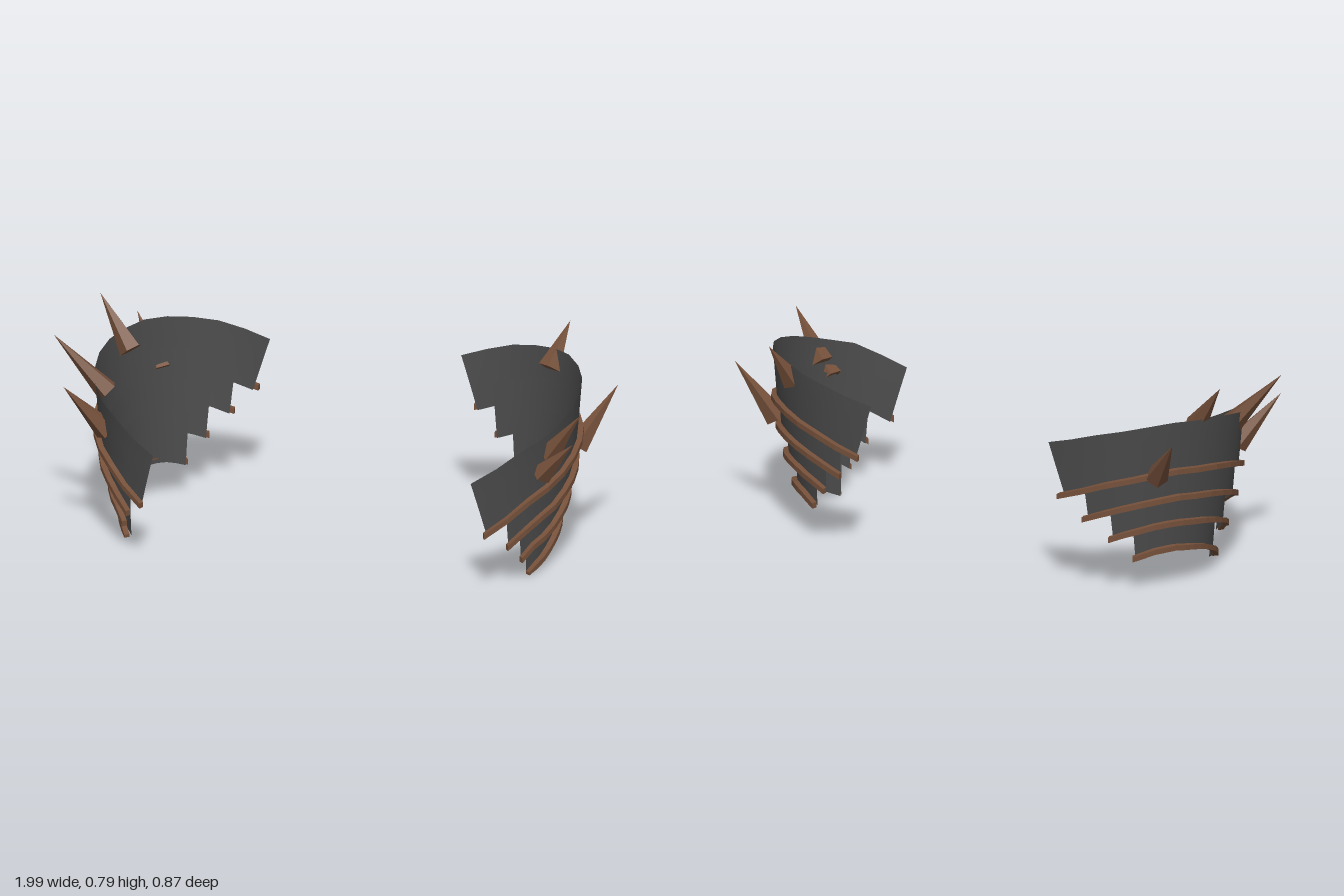
import * as THREE from 'three';

const iron = new THREE.MeshStandardMaterial({ color: 0x4a4a4a, side: THREE.DoubleSide });
iron.name = 'dark iron';
const bronze = new THREE.MeshStandardMaterial({ color: 0x75503a, side: THREE.DoubleSide, flatShading: true });
bronze.name = 'bronze';

const SEGMENTS = 14;

// Overlapping plates, top to bottom: arc centre, lower radius, front and back angle of the lower edge
const PLATES = [
  { cx: 0.47, cz: 0.03, r: 0.42, front: 62, back: -97, wide: 8 },
  { cx: 0.492, cz: 0.02, r: 0.38, front: 52, back: -89, wide: 3 },
  { cx: 0.513, cz: 0.01, r: 0.33, front: 44, back: -79, wide: 3 },
  { cx: 0.535, cz: 0.0, r: 0.275, front: 38, back: -68, wide: 3 },
];
const STEP = 0.109, HEIGHT = 0.203;

// Height of the top plate's lower edge by angle (degrees)
const EDGE = [[-110, 0.35], [-97, 0.385], [-75, 0.44], [-55, 0.47], [-40, 0.477], [-20, 0.46],
  [-5, 0.435], [10, 0.4], [25, 0.355], [38, 0.327], [45, 0.295], [62, 0.22], [70, 0.19]];
function edgeHeight(a) {
  let k = 0;
  while (k < EDGE.length - 2 && a > EDGE[k + 1][0]) k++;
  const [a0, y0] = EDGE[k], [a1, y1] = EDGE[k + 1];
  return y0 + (y1 - y0) * (a - a0) / (a1 - a0);
}

// Moves a point to its shoulder; the right one is mirrored and turned slightly
function place(side, x, y, z) {
  if (side > 0) return new THREE.Vector3(x, y, z);
  const c = Math.cos(0.07), s = Math.sin(0.07), dx = x - 0.47, dz = z - 0.03;
  return new THREE.Vector3(-(0.44 + dx * c - dz * s), y * 0.975, 0.022 + dx * s + dz * c);
}

// Point on a plate: t runs front to back, v bottom to top, out is radial offset, over lengthens the arc
function platePoint(side, i, t, v, out = 0, up = 0, over = 0) {
  const p = PLATES[i];
  const base = p.front + over + (p.back - p.front - 2 * over) * t;
  const a = THREE.MathUtils.degToRad(base + p.wide * v * (1 - 2 * t));
  const r = p.r + 0.016 * v + out;
  const y = edgeHeight(base) - STEP * i + HEIGHT * v + up;
  return place(side, p.cx + r * Math.cos(a), Math.max(0, y), p.cz + r * Math.sin(a));
}

// Quad grid through a function of column and row
function gridGeometry(cols, rows, fn) {
  const pos = [], idx = [];
  for (let a = 0; a <= cols; a++) for (let b = 0; b <= rows; b++) pos.push(...fn(a, b).toArray());
  for (let a = 0; a < cols; a++) for (let b = 0; b < rows; b++) {
    const q = a * (rows + 1) + b, n = q + rows + 1;
    idx.push(q, q + 1, n, n, q + 1, n + 1);
  }
  const g = new THREE.BufferGeometry();
  g.setAttribute('position', new THREE.Float32BufferAttribute(pos, 3));
  g.setIndex(idx);
  g.computeVertexNormals();
  return g;
}

function add(group, name, geometry, material) {
  const mesh = new THREE.Mesh(geometry, material);
  mesh.name = name;
  group.add(mesh);
  return mesh;
}

// Spikes as base centre and tip
const SPIKES = {
  left: [
    [[0.71, 0.605, -0.305], [0.76, 0.757, -0.4]],
    [[0.86, 0.385, -0.135], [0.99, 0.605, -0.21]],
    [[0.85, 0.48, 0.215], [0.98, 0.658, 0.27]],
    [[0.83, 0.415, 0.25], [0.96, 0.555, 0.3]],
  ],
  right: [
    [[-0.81, 0.53, 0.145], [-1.0, 0.74, 0.18]],
    [[-0.79, 0.6, -0.1], [-0.92, 0.785, -0.16]],
    [[-0.785, 0.42, 0.25], [-0.92, 0.605, 0.34]],
    [[-0.73, 0.46, -0.29], [-0.85, 0.635, -0.405]],
  ],
};

function addSpike(group, [from, to]) {
  const a = new THREE.Vector3(...from), b = new THREE.Vector3(...to);
  const dir = b.clone().sub(a), length = dir.length();
  const g = new THREE.ConeGeometry(0.043, length, 5);
  g.translate(0, length / 2, 0);
  const spike = add(group, 'spike', g, bronze);
  spike.position.copy(a);
  spike.quaternion.setFromUnitVectors(new THREE.Vector3(0, 1, 0), dir.normalize());
}

// Trim cross-section: radial offset and height, closed loop
const TRIM = [[0.001, 0], [0.022, 0], [0.022, 0.02], [0.001, 0.02], [0.001, 0]];

function buildPauldron(side) {
  const group = new THREE.Group();
  group.name = side > 0 ? 'leftPauldron' : 'rightPauldron';
  PLATES.forEach((_, i) => {
    add(group, 'plate', gridGeometry(SEGMENTS, 3,
      (a, b) => platePoint(side, i, a / SEGMENTS, b / 3)), iron);
    // Rim along the lower edge, flaring slightly at both ends
    add(group, 'trim', gridGeometry(SEGMENTS, 4, (a, b) => {
      const t = a / SEGMENTS, flare = 0.012 * Math.pow(Math.abs(2 * t - 1), 6);
      return platePoint(side, i, t, 0, TRIM[b][0] + flare, TRIM[b][1], 2);
    }), bronze);
    for (const t of [0, 1]) {
      add(group, 'trimEnd', gridGeometry(1, 1, (a, b) =>
        platePoint(side, i, t, 0, (a ? 0.022 : 0.001) + 0.012, b * 0.02, 2)), bronze);
    }
  });
  for (const s of side > 0 ? SPIKES.left : SPIKES.right) addSpike(group, s);
  return group;
}

export function createModel() {
  const model = new THREE.Group();
  model.name = 'spikedPauldrons';
  model.add(buildPauldron(1), buildPauldron(-1));
  return model;
}
